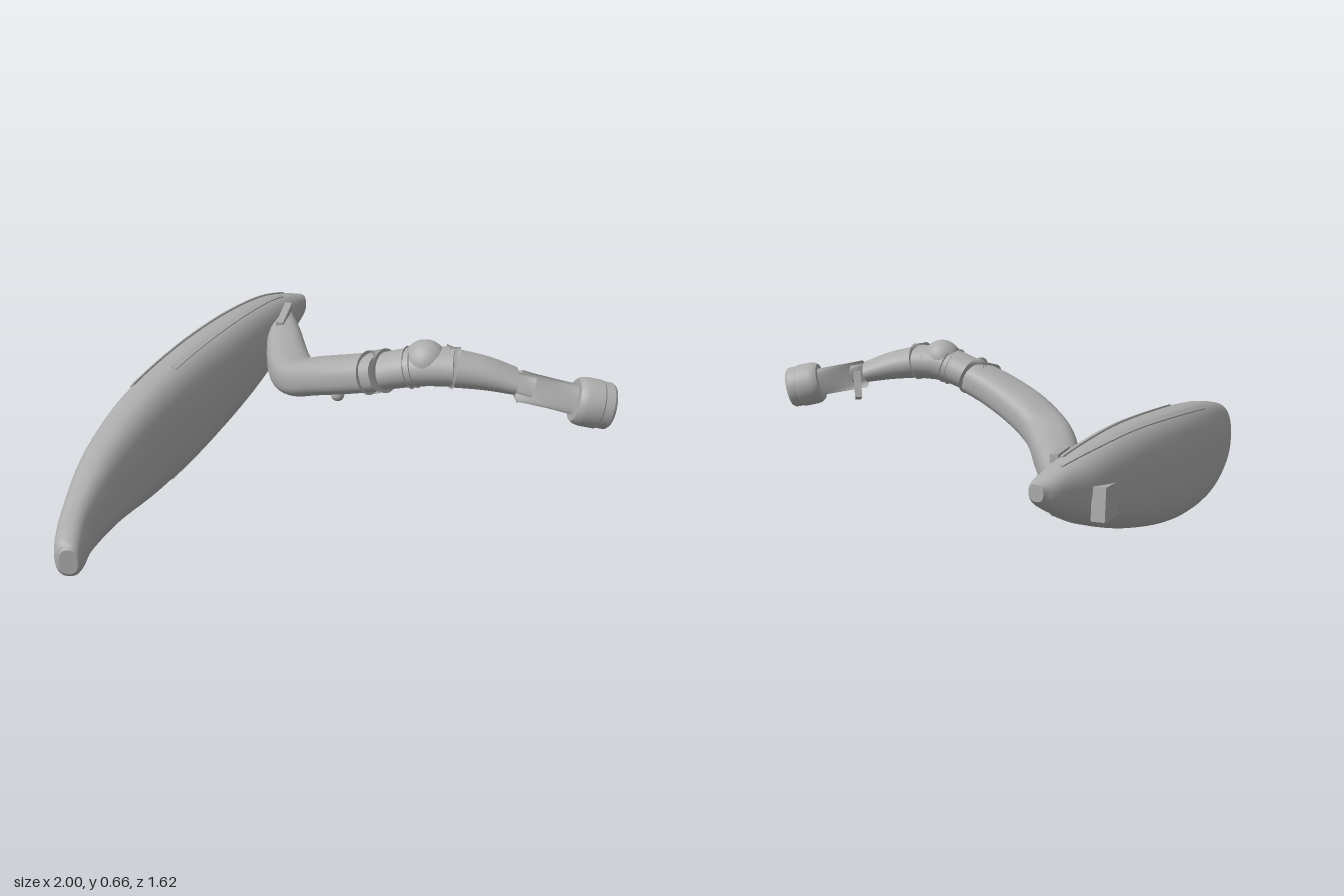
import * as THREE from 'three';
import { toCreasedNormals } from 'three/addons/utils/BufferGeometryUtils.js';

const V = (x, y, z) => new THREE.Vector3(x, y, z);
const UP = V(0, 1, 0);

// Smooth path through rows [x, y, z, halfWidth, halfHeight]; returns a frame at t
function spine(rows, upright) {
  const path = new THREE.CatmullRomCurve3(rows.map(r => V(r[0], r[1], r[2])), false, 'catmullrom');
  const size = new THREE.CatmullRomCurve3(rows.map(r => V(r[3], r[4], 0)), false, 'catmullrom');
  return t => {
    const c = path.getPoint(t), s = size.getPoint(t), dir = path.getTangent(t);
    const side = dir.clone().cross(UP).normalize();
    const up = upright ? UP.clone() : side.clone().cross(dir).normalize();
    return { c, side, up, w: s.x, h: s.y };
  };
}

// Point on a superellipse section at angle a, pushed out by off
function onSection(f, a, power, off = 0) {
  const e = 2 / power, C = Math.cos(a), S = Math.sin(a);
  const x = Math.sign(C) * Math.abs(C) ** e * (f.w + off);
  const y = Math.sign(S) * Math.abs(S) ** e * (f.h + off);
  return f.c.clone().addScaledVector(f.side, x).addScaledVector(f.up, y);
}

// Skin closed rings of points and cap both ends
function skin(rings) {
  const n = rings[0].length, pos = [], idx = [];
  rings.forEach(r => r.forEach(p => pos.push(p.x, p.y, p.z)));
  for (let i = 0; i < rings.length - 1; i++) for (let j = 0; j < n; j++) {
    const a = i * n + j, b = i * n + (j + 1) % n;
    idx.push(a, a + n, b + n, a, b + n, b);
  }
  [rings[0], rings[rings.length - 1]].forEach((r, end) => {
    const base = pos.length / 3, mid = V(0, 0, 0);
    r.forEach(p => { pos.push(p.x, p.y, p.z); mid.addScaledVector(p, 1 / n); });
    pos.push(mid.x, mid.y, mid.z);
    for (let j = 0; j < n; j++) {
      const a = base + j, b = base + (j + 1) % n;
      end ? idx.push(base + n, b, a) : idx.push(base + n, a, b);
    }
  });
  const g = new THREE.BufferGeometry();
  g.setAttribute('position', new THREE.Float32BufferAttribute(pos, 3));
  g.setIndex(idx);
  g.computeVertexNormals();
  return g;
}

function loft(frame, power, steps, sides) {
  const rings = [];
  for (let i = 0; i <= steps; i++) {
    const f = frame(i / steps);
    rings.push(Array.from({ length: sides }, (_, j) => onSection(f, j / sides * Math.PI * 2, power)));
  }
  return skin(rings);
}

export function createModel() {
  const group = new THREE.Group();
  const grey = new THREE.MeshStandardMaterial({ color: 0xacacac });
  grey.name = 'grey';
  const add = (name, geo) => {
    const m = new THREE.Mesh(geo, grey);
    m.name = name;
    group.add(m);
    return m;
  };
  // Straight oval band between two points
  const band = (name, a, b, w, h) => add(name, loft(spine([[...a, w, h], [...b, w, h]]), 2, 1, 32));

  // Mirror housing: x, z, half thickness, bottom, top
  const housing = spine([
    [-0.962, 0.801, 0.03, 0.125, 0.215], [-0.957, 0.785, 0.043, 0.108, 0.232],
    [-0.948, 0.74, 0.052, 0.093, 0.252],
    [-0.902, 0.60, 0.062, 0.073, 0.288], [-0.785, 0.37, 0.09, 0.04, 0.36],
    [-0.613, 0.122, 0.114, 0.005, 0.425], [-0.393, -0.141, 0.124, 0.02, 0.463],
    [-0.156, -0.395, 0.122, 0.09, 0.48], [0.047, -0.606, 0.103, 0.183, 0.467],
    [0.175, -0.715, 0.07, 0.262, 0.438], [0.238, -0.765, 0.051, 0.308, 0.415],
    [0.267, -0.793, 0.028, 0.342, 0.402],
  ].map(([x, z, w, lo, hi]) => [x, (lo + hi) / 2, z, w, (hi - lo) / 2]), true);
  add('mirrorHousing', loft(housing, 2.4, 80, 48));

  // Narrow raised trims that follow the housing; start and end angle, width in angle
  const trim = (name, t0, t1, a0, a1, width, off) => {
    const rings = [];
    for (let i = 0; i <= 30; i++) {
      const k = i / 30, a = a0 + (a1 - a0) * k, b = a + width;
      const f = housing(t0 + (t1 - t0) * k);
      rings.push([[a, -0.01], [a, off], [b, off], [b, -0.01]].map(([s, o]) => onSection(f, s, 2.4, o)));
    }
    add(name, toCreasedNormals(skin(rings), 0.5));
  };
  const q = Math.PI / 2;
  trim('topTrimOuter', 0.47, 0.82, q + 0.36, q + 0.1, 0.15, 0.006);
  trim('topTrimInner', 0.51, 0.78, q - 0.32, q - 0.32, 0.16, 0.006);
  trim('lowerTrim', 0.49, 0.82, -q + 0.28, -q + 0.28, 0.12, 0.006);

  // Flat tab on the back near the inner end
  const tab = add('backTab', new THREE.BoxGeometry(0.2, 0.12, 0.05));
  tab.position.set(-0.012, 0.29, -0.667);
  tab.rotation.set(0, 0.98, 0.12);

  // Curved stalk growing out of the housing
  add('stalk', loft(spine([
    [0.142, 0.335, -0.615, 0.05, 0.068], [0.1, 0.335, -0.45, 0.073, 0.077],
    [0.05, 0.33, -0.2, 0.087, 0.08], [0.033, 0.362, 0, 0.09, 0.072],
    [0.08, 0.42, 0.14, 0.094, 0.07], [0.155, 0.473, 0.27, 0.092, 0.068],
    [0.24, 0.517, 0.375, 0.087, 0.066],
  ]), 2.6, 50, 32));
  const lip = add('stalkLip', new THREE.BoxGeometry(0.19, 0.03, 0.03));
  lip.position.set(0.115, 0.418, -0.51);
  lip.rotation.set(0, 1.1, 0.1);
  add('stalkScrew', new THREE.SphereGeometry(0.025, 16, 12)).position.set(0.11, 0.39, 0.26);

  // Elbow joint with collars and ball
  band('stalkCollar', [0.203, 0.503, 0.343], [0.25, 0.525, 0.39], 0.1, 0.079);
  add('elbow', loft(spine([
    [0.24, 0.52, 0.38, 0.083, 0.066], [0.35, 0.562, 0.465, 0.083, 0.07], [0.46, 0.57, 0.52, 0.085, 0.068],
  ]), 2, 20, 32));
  add('elbowBall', new THREE.SphereGeometry(0.078, 32, 20)).position.set(0.365, 0.584, 0.475);
  band('elbowRing', [0.32, 0.553, 0.445], [0.338, 0.56, 0.458], 0.091, 0.076);
  band('armCollar', [0.42, 0.575, 0.505], [0.465, 0.567, 0.526], 0.094, 0.074);

  // Flattened arm and mounting stem
  add('arm', loft(spine([
    [0.45, 0.568, 0.52, 0.085, 0.066], [0.56, 0.55, 0.555, 0.083, 0.056], [0.663, 0.522, 0.59, 0.08, 0.042],
  ]), 2.1, 12, 32));
  band('stemCore', [0.62, 0.53, 0.58], [0.72, 0.505, 0.625], 0.038, 0.038);
  band('stem', [0.675, 0.508, 0.61], [0.88, 0.462, 0.695], 0.057, 0.057);
  const lever = add('stemTab', new THREE.BoxGeometry(0.025, 0.11, 0.055));
  lever.position.set(0.71, 0.475, 0.545);
  lever.rotation.x = 0.4;

  // End cap with a recessed face and hub
  const profile = [[0, 0], [0.076, 0], [0.084, 0.012], [0.088, 0.03], [0.088, 0.085], [0.084, 0.09], [0.084, 0.122],
    [0.077, 0.132], [0.055, 0.132], [0.055, 0.115], [0.028, 0.115], [0.028, 0.128], [0, 0.128]];
  const capGeo = new THREE.LatheGeometry(profile.map(p => new THREE.Vector2(...p)), 36);
  const cap = add('endCap', toCreasedNormals(capGeo, 0.6));
  cap.position.set(0.85, 0.468, 0.688);
  cap.quaternion.setFromUnitVectors(UP, V(0.95, -0.2, 0.26).normalize());

  return group;
}
